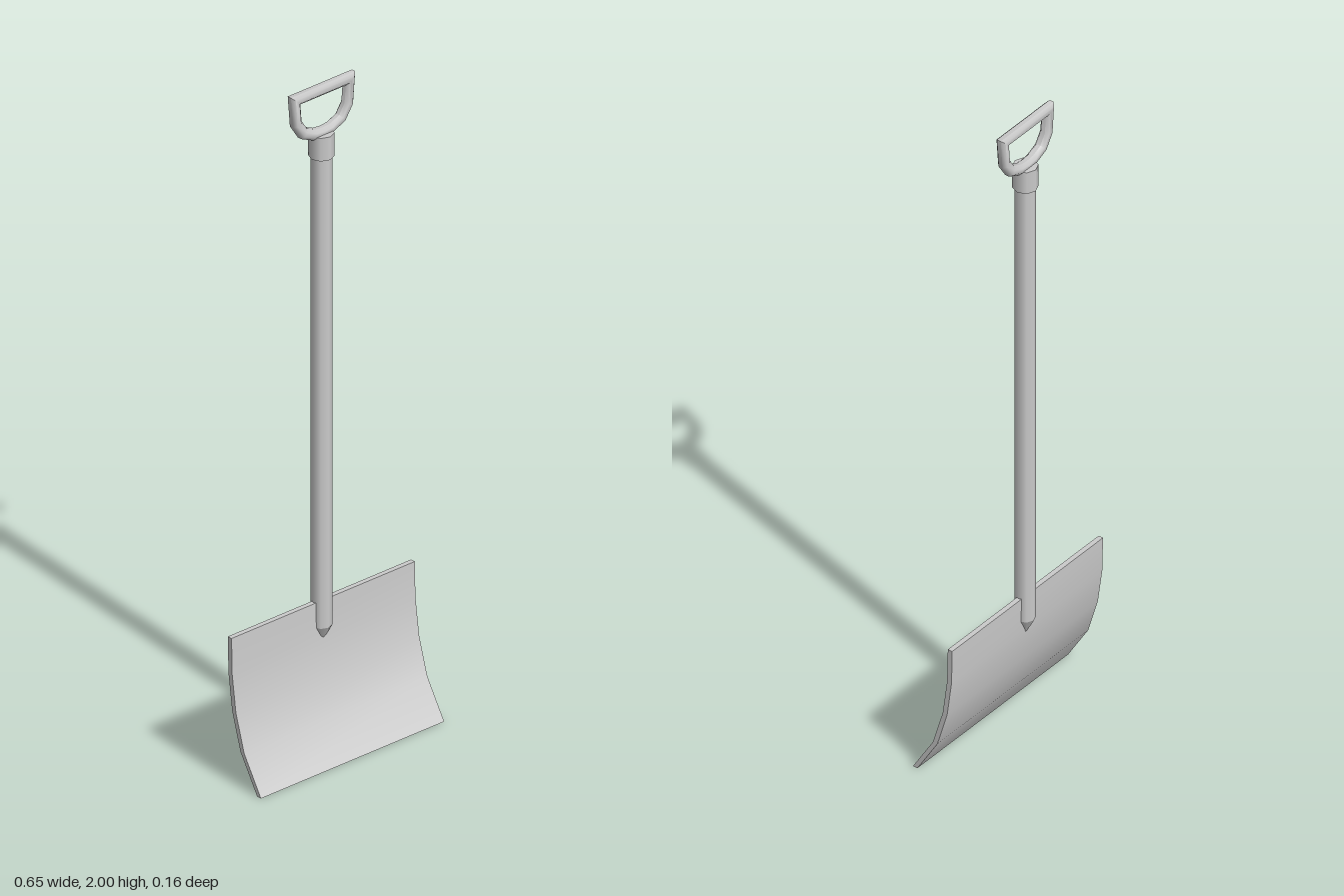
import * as THREE from 'three';
import { toCreasedNormals } from 'three/addons/utils/BufferGeometryUtils.js';

const SHAFT_Z = -0.045;

// Closed tube through points in the xy plane (clockwise), with mitred corners
function mitredLoop(points, radius, sides) {
  const n = points.length, pos = [], idx = [];
  points.forEach((p, i) => {
    const before = p.clone().sub(points[(i + n - 1) % n]).normalize();
    const after = points[(i + 1) % n].clone().sub(p).normalize();
    const t = before.clone().add(after).normalize();
    const stretch = 1 / t.dot(after);
    for (let j = 0; j < sides; j++) {
      const a = ((j + 0.5) / sides) * Math.PI * 2;
      const out = radius * Math.cos(a) * stretch;
      pos.push(p.x - t.y * out, p.y + t.x * out, radius * Math.sin(a));
      const k = (j + 1) % sides, m = ((i + 1) % n) * sides;
      const q = i * sides;
      idx.push(q + j, q + k, m + j, q + k, m + k, m + j);
    }
  });
  const g = new THREE.BufferGeometry();
  g.setAttribute('position', new THREE.Float32BufferAttribute(pos, 3));
  g.setIndex(idx);
  return toCreasedNormals(g, 0.9);
}

// Curved sheet: a (z, y) centre line given thickness along z and extruded across x
function bentSheet(line, thickness, width) {
  const shifted = (dz) => line.map((p) => new THREE.Vector2(p.x + dz, p.y));
  const outline = [...shifted(thickness / 2), ...shifted(-thickness / 2).reverse()];
  const g = new THREE.ExtrudeGeometry(new THREE.Shape(outline), { depth: width, bevelEnabled: false });
  g.translate(0, 0, -width / 2).rotateY(-Math.PI / 2);
  return toCreasedNormals(g, 0.6);
}

export function createModel() {
  const model = new THREE.Group();
  model.name = 'snowShovel';
  const material = new THREE.MeshStandardMaterial({ color: 0xcccccc });
  const add = (name, geometry, y = 0, z = 0) => {
    const mesh = new THREE.Mesh(geometry, material);
    mesh.name = name;
    mesh.position.set(0, y, z);
    model.add(mesh);
  };
  const v = (x, y) => new THREE.Vector2(x, y);

  // Blade, curving forward toward its flat bottom edge
  add('blade', bentSheet([
    v(0.0725, 0), v(0.005, 0.11), v(-0.028, 0.22), v(-0.043, 0.33), v(-0.0455, 0.438),
  ], 0.015, 0.655));

  // Octagonal shaft with a tapered tip sunk into the blade
  add('shaft', new THREE.CylinderGeometry(0.0295, 0.0295, 1.44, 8), 1.083, SHAFT_Z);
  add('shaftTip', new THREE.CylinderGeometry(0.0295, 0.003, 0.05, 8), 0.338, SHAFT_Z);

  // Collar joining the shaft to the grip
  add('collar', new THREE.CylinderGeometry(0.0355, 0.0355, 0.07, 8), 1.818, SHAFT_Z);

  // D-shaped grip: half outline mirrored into a closed loop
  const half = [v(0.098, 1.9845), v(0.092, 1.912), v(0.068, 1.875), v(0.03, 1.858)];
  const mirrored = half.map((p) => v(-p.x, p.y)).reverse();
  add('gripHandle', mitredLoop([...half, v(0, 1.855), ...mirrored], 0.0168, 8), 0, SHAFT_Z);

  return model;
}
